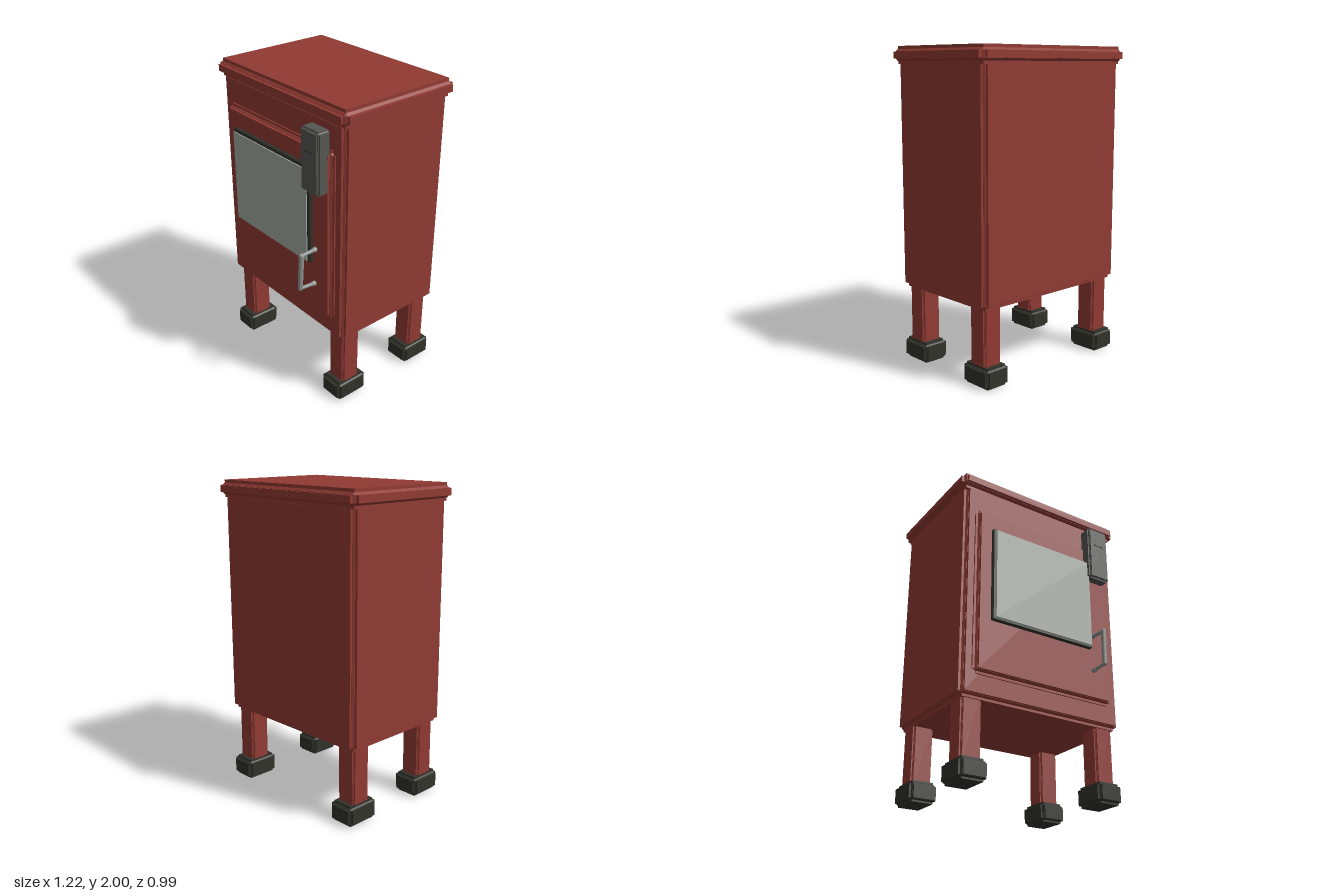
import * as THREE from 'three';
import { mergeGeometries } from 'three/addons/utils/BufferGeometryUtils.js';
import { ConvexGeometry } from 'three/addons/geometries/ConvexGeometry.js';

const mat = (name, color, opts = {}) => {
  const m = new THREE.MeshStandardMaterial({ color, ...opts });
  m.name = name;
  return m;
};

// Box with a chamfer c along every edge
function chamferBox(w, h, d, c) {
  const pts = [];
  for (const sx of [-1, 1]) for (const sy of [-1, 1]) for (const sz of [-1, 1]) {
    const x = w / 2, y = h / 2, z = d / 2;
    pts.push(
      new THREE.Vector3(sx * x, sy * (y - c), sz * (z - c)),
      new THREE.Vector3(sx * (x - c), sy * y, sz * (z - c)),
      new THREE.Vector3(sx * (x - c), sy * (y - c), sz * z));
  }
  return new ConvexGeometry(pts);
}

// Moulded box: raised face panels over a chamfered core that shows at the edges
function panelBox(w, h, d, b) {
  const s = b * 0.55, t = 2 * b;
  const parts = [
    chamferBox(w - 2 * s, h - 2 * s, d - 2 * s, b * 0.4),
    new THREE.BoxGeometry(w, h - t, d - t),
    new THREE.BoxGeometry(w - t, h, d - t),
    new THREE.BoxGeometry(w - t, h - t, d),
  ].map(g => {
    const n = g.index ? g.toNonIndexed() : g;
    n.deleteAttribute('uv');
    return n;
  });
  return mergeGeometries(parts);
}

export function createModel() {
  const model = new THREE.Group();
  model.name = 'stove';
  const red = mat('red enamel', 0x913a33, { flatShading: true });
  const iron = mat('black iron', 0x30322a, { flatShading: true });
  const grey = mat('dark grey', 0x555652, { flatShading: true });
  const glass = mat('window glass', 0xa5aba3);
  const steel = mat('steel', 0x8e928f);

  const add = (name, geometry, material, x, y, z, parent = model) => {
    const m = new THREE.Mesh(geometry, material);
    m.name = name;
    m.position.set(x, y, z);
    parent.add(m);
    return m;
  };
  // Place a geometry builder by its min and max corners
  const span = (name, build, material, x0, x1, y0, y1, z0, z1) =>
    add(name, build(x1 - x0, y1 - y0, z1 - z0), material,
      (x0 + x1) / 2, (y0 + y1) / 2, (z0 + z1) / 2);
  const panel = b => (w, h, d) => panelBox(w, h, d, b);
  const chamfer = c => (w, h, d) => chamferBox(w, h, d, c);
  const box = (w, h, d) => new THREE.BoxGeometry(w, h, d);

  // Cabinet and lid
  span('cabinet', panel(0.028), red, -0.577, 0.577, 0.48, 1.918, -0.47, 0.33);
  span('lid', panel(0.034), red, -0.61, 0.61, 1.89, 2, -0.5, 0.36);

  // Legs and feet
  for (const side of [-1, 1]) for (const z of [0.225, -0.365]) {
    add('leg', panelBox(0.135, 0.44, 0.135, 0.014), red, side * 0.478, 0.3, z);
    add('foot', panelBox(0.18, 0.13, 0.23, 0.021), iron, side * 0.478, 0.065, z);
  }

  // Door
  span('door', panel(0.027), red, -0.508, 0.505, 0.62, 1.738, 0.28, 0.366);

  // Window: dark frame with the pane standing just in front
  span('windowFrame', chamfer(0.006), iron, -0.405, 0.343, 0.97, 1.607, 0.36, 0.388);
  span('windowPane', box, glass, -0.388, 0.33, 0.985, 1.59, 0.397, 0.404);

  // Control box with its slot
  span('controlBox', panel(0.014), grey, 0.318, 0.477, 1.475, 1.862, 0.34, 0.435);
  span('controlSlot', box, iron, 0.36, 0.433, 1.727, 1.734, 0.433, 0.439);

  // Door handle: rounded grip on two slim posts
  const handle = new THREE.Group();
  handle.name = 'doorHandle';
  model.add(handle);
  const rod = (name, r0, r1, a, b) => {
    const dir = b.clone().sub(a);
    const m = add(name, new THREE.CylinderGeometry(r1, r0, dir.length(), 16), steel, 0, 0, 0, handle);
    m.position.copy(a).lerp(b, 0.5);
    m.quaternion.setFromUnitVectors(new THREE.Vector3(0, 1, 0), dir.normalize());
  };
  const low = new THREE.Vector3(0.361, 0.836, 0.479);
  const high = new THREE.Vector3(0.369, 1.066, 0.473);
  rod('grip', 0.015, 0.017, low, high);
  add('gripEnd', new THREE.SphereGeometry(0.015, 16, 10), steel, ...low, handle);
  add('gripEnd', new THREE.SphereGeometry(0.017, 16, 10), steel, ...high, handle);
  for (const [p, y] of [[low, 0.828], [high, 1.072]]) {
    const foot = new THREE.Vector3(p.x, y, 0.362);
    rod('handlePost', 0.012, 0.011, foot, p);
    rod('handleCollar', 0.017, 0.014, foot, foot.clone().lerp(p, 0.25));
  }
  return model;
}
